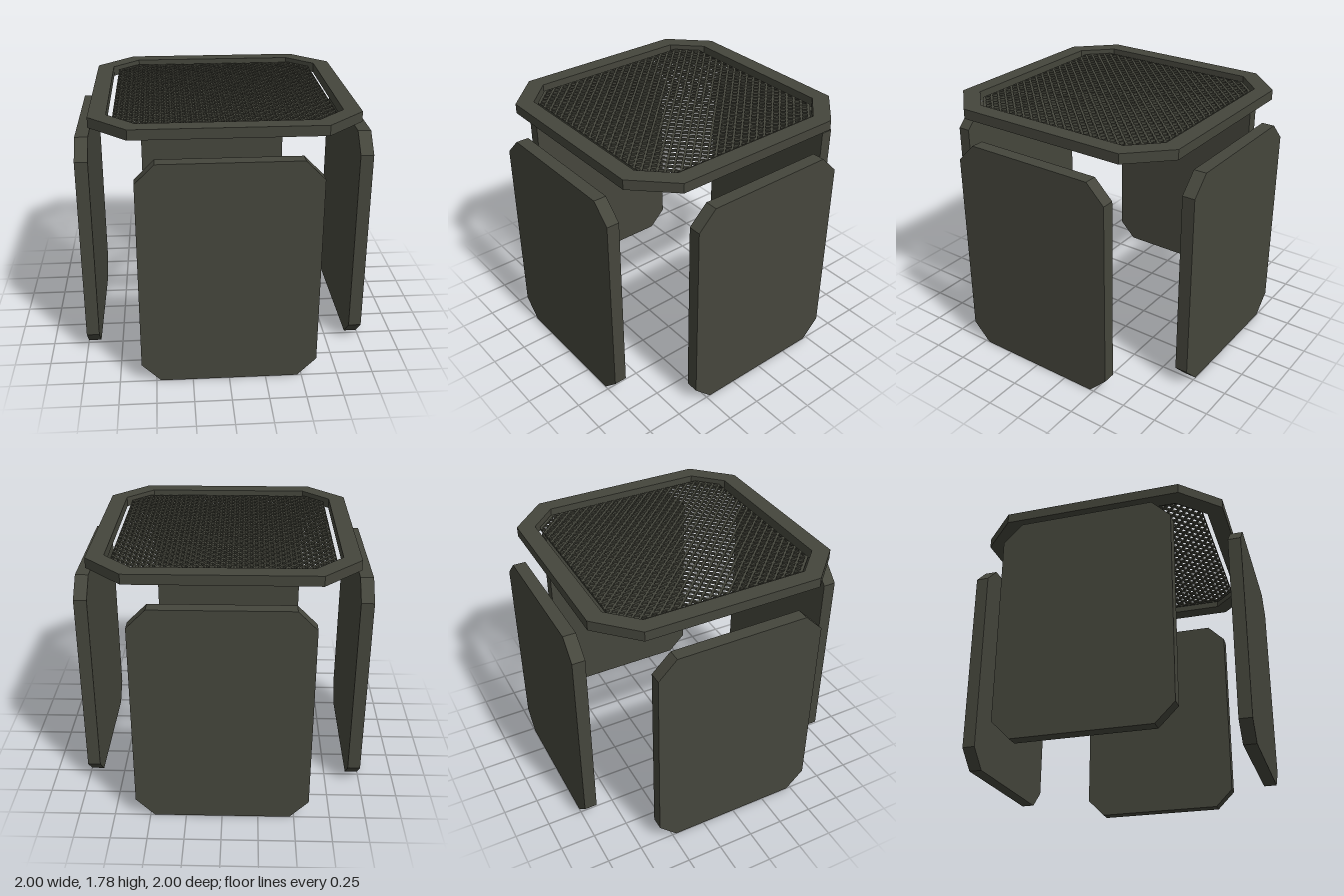
import * as THREE from 'three';
import { mergeGeometries } from 'three/addons/utils/BufferGeometryUtils.js';

const material = new THREE.MeshStandardMaterial({ color: 0x45463c, flatShading: true });

// Corner points of a rectangle with 45 degree cut corners
function cutCorners(halfW, halfH, cut) {
  const a = halfW - cut, b = halfH - cut;
  return [[a, -halfH], [halfW, -b], [halfW, b], [a, halfH], [-a, halfH], [-halfW, b], [-halfW, -b], [-a, -halfH]]
    .map(([x, y]) => new THREE.Vector2(x, y));
}

// Slab centred on its depth, with an optional hole
function slab(outline, depth, hole) {
  const shape = new THREE.Shape(outline);
  if (hole) shape.holes.push(new THREE.Path(hole));
  return new THREE.ExtrudeGeometry(shape, { depth, bevelEnabled: false }).translate(0, 0, -depth / 2);
}

function part(name, geometry) {
  const mesh = new THREE.Mesh(geometry, material);
  mesh.name = name;
  return mesh;
}

// Diagonal lattice whose bars end on the cut-corner outline
function latticeGeometry(half, cut, pitch, barWidth, depth) {
  const limit = 2 * half - cut;
  const reach = (c) => Math.min(limit, 2 * half - Math.abs(c));
  const w = barWidth / Math.SQRT2; // half bar width measured along the offset axis
  const bars = [];
  const n = Math.floor((limit - w) / pitch);
  for (let i = -n; i <= n; i++) {
    const c0 = i * pitch - w, c1 = i * pitch + w;
    const corners = [[c0, -reach(c0)], [c1, -reach(c1)], [c1, reach(c1)], [c0, reach(c0)]];
    for (const side of [1, -1]) {
      const points = corners.map(([c, s]) => new THREE.Vector2(side * (s + c) / 2, (s - c) / 2));
      bars.push(slab(points, depth));
    }
  }
  return mergeGeometries(bars);
}

export function createModel() {
  const model = new THREE.Group();
  model.name = 'tableWithSidePanels';

  // Four upright panels around the centre
  const panelGeometry = slab(cutCorners(0.6, 0.797, 0.13), 0.09);
  ['frontPanel', 'leftPanel', 'backPanel', 'rightPanel'].forEach((name, i) => {
    const panel = part(name, panelGeometry);
    const angle = i * Math.PI / 2;
    panel.position.set(Math.sin(angle) * 0.955, 0.797, Math.cos(angle) * 0.955);
    panel.rotation.y = angle;
    model.add(panel);
  });

  // Floating top: octagonal frame with a free lattice inside
  const top = new THREE.Group();
  top.name = 'top';
  top.position.y = 1.75;
  top.rotation.x = -Math.PI / 2;
  top.add(part('topFrame', slab(cutCorners(0.893, 0.893, 0.26), 0.07, cutCorners(0.775, 0.775, 0.19))));
  top.add(part('lattice', latticeGeometry(0.735, 0.135, 0.0695, 0.015, 0.015)));
  top.add(part('latticeRim', slab(cutCorners(0.737, 0.737, 0.137), 0.015, cutCorners(0.732, 0.732, 0.135))));
  model.add(top);

  return model;
}
